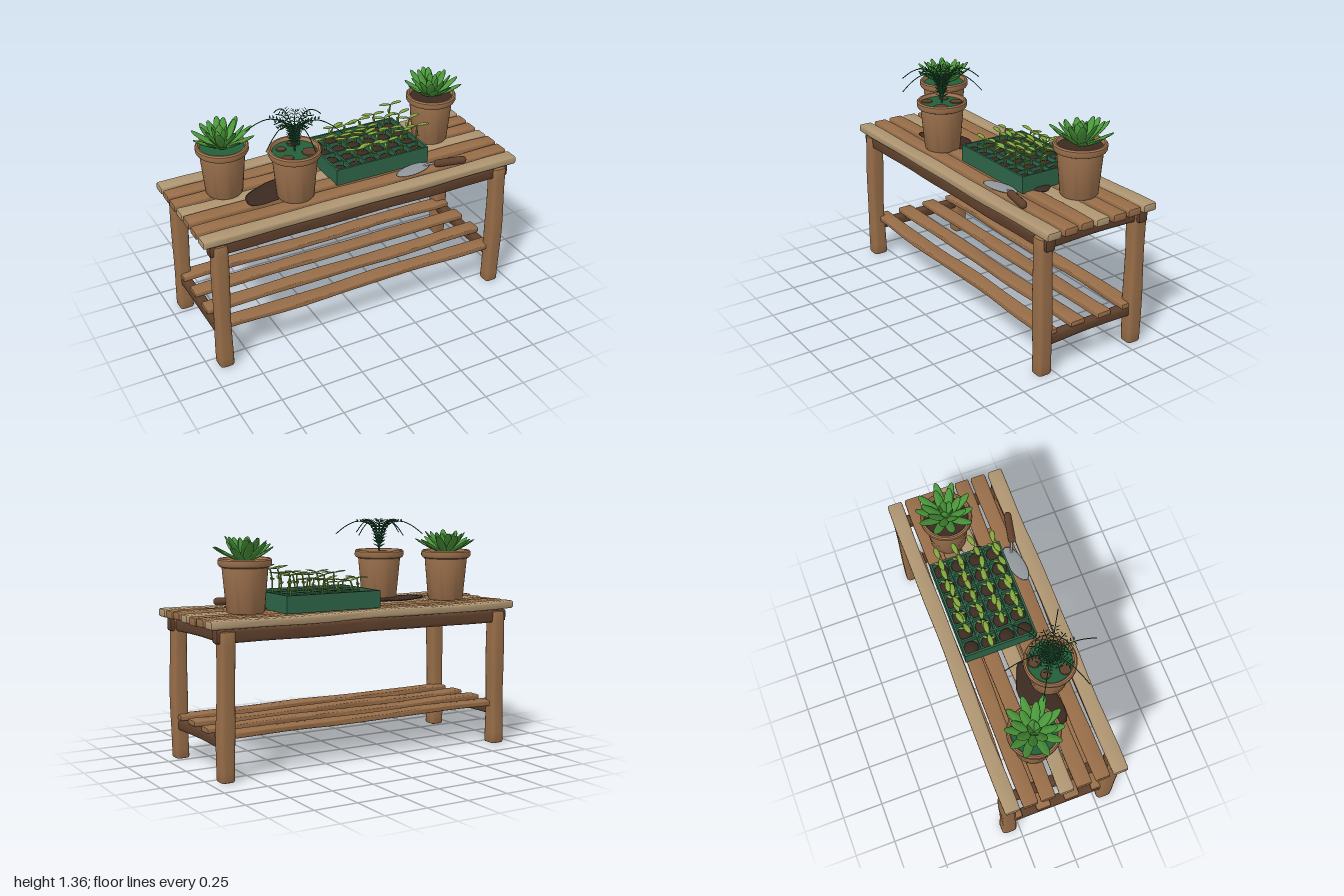
import * as THREE from 'three';
import { mergeGeometries, toCreasedNormals } from 'three/addons/utils/BufferGeometryUtils.js';

const material = (name, color) => {
  const m = new THREE.MeshStandardMaterial({ color });
  m.name = name;
  return m;
};

export function createModel() {
  const root = new THREE.Group();
  root.name = 'pottingBench';
  const paleWood = material('paleWood', 0xae9571);
  const wood = material('wood', 0x976d48);
  const darkWood = material('darkWood', 0x5e402c);
  const clay = material('clay', 0xa0744f);
  const leafGreen = material('leafGreen', 0x4a963a);
  const fernGreen = material('fernGreen', 0x235f3a);
  const trayGreen = material('trayGreen', 0x2e6448);
  const soil = material('soil', 0x3b2a21);
  const sprout = material('sproutGreen', 0x82a83e);
  const metal = material('metal', 0x90969a);

  let seed = 7;
  const rand = (a = 0, b = 1) => {
    seed = (seed * 16807) % 2147483647;
    return a + (b - a) * seed / 2147483647;
  };
  const add = (parent, name, geo, mat, x = 0, y = 0, z = 0) => {
    const mesh = new THREE.Mesh(geo, mat);
    mesh.name = name;
    mesh.position.set(x, y, z);
    parent.add(mesh);
    return mesh;
  };
  const group = (name, x = 0, y = 0, z = 0) => {
    const g = new THREE.Group();
    g.name = name;
    g.position.set(x, y, z);
    root.add(g);
    return g;
  };

  // Rough-hewn timber: a rounded section extruded along its longest side, gently warped
  const timber = (parent, name, mat, [lx, ly, lz], [x, y, z], warp = 0.004) => {
    const len = Math.max(lx, ly, lz), axis = len === lx ? 'x' : len === ly ? 'y' : 'z';
    const w = axis === 'x' ? lz : lx, h = axis === 'y' ? lz : ly;
    const r = Math.min(w, h) * 0.3, a = w / 2, b = h / 2, bevel = 0.012;
    const s = new THREE.Shape();
    s.moveTo(-a + r, -b);
    s.lineTo(a - r, -b); s.quadraticCurveTo(a, -b, a, -b + r);
    s.lineTo(a, b - r); s.quadraticCurveTo(a, b, a - r, b);
    s.lineTo(-a + r, b); s.quadraticCurveTo(-a, b, -a, b - r);
    s.lineTo(-a, -b + r); s.quadraticCurveTo(-a, -b, -a + r, -b);
    const depth = len - 2 * bevel;
    const geo = new THREE.ExtrudeGeometry(s, {
      depth, steps: 14, curveSegments: 4, bevelThickness: bevel, bevelSize: bevel,
      bevelOffset: -bevel, bevelSegments: 2,
    });
    geo.translate(0, 0, -depth / 2);
    const p = geo.attributes.position, ph = rand(0, 6);
    for (let i = 0; i < p.count; i++) {
      const t = p.getZ(i), k = 1 + 0.04 * Math.sin(t * 11 + ph);
      p.setX(i, p.getX(i) * k + warp * Math.sin(t * 5 + ph));
      p.setY(i, p.getY(i) * k + warp * 0.7 * Math.sin(t * 6 + ph * 2));
    }
    if (axis === 'x') geo.rotateY(Math.PI / 2);
    if (axis === 'y') geo.rotateX(-Math.PI / 2);
    add(parent, name, toCreasedNormals(geo, 0.7), mat, x, y, z);
  };

  // Bench
  const bench = group('bench');
  for (const sx of [-1, 1]) {
    for (const sz of [-1, 1]) timber(bench, 'leg', wood, [0.086, 0.815, 0.09], [sx * 0.9, 0.4125, sz * 0.315]);
    timber(bench, 'topEndRail', darkWood, [0.06, 0.068, 0.6], [sx * 0.9, 0.788, 0]);
    timber(bench, 'lowerEndRail', darkWood, [0.06, 0.06, 0.58], [sx * 0.9, 0.208, 0]);
    timber(bench, 'longRail', darkWood, [1.92, 0.075, 0.06], [0, 0.79, sx * 0.313]);
  }
  [0.318, 0.21, 0.102, 0, -0.112, -0.215, -0.322].forEach((z, i) =>
    timber(bench, 'topSlat', i % 3 ? wood : paleWood, [2, 0.047, 0.088], [0, 0.854 + (i === 2 ? 0.006 : 0), z], 0.003));
  [0.27, 0.092, -0.092, -0.27].forEach((z) =>
    timber(bench, 'lowerSlat', wood, [1.86, 0.034, 0.092], [0, 0.252, z], 0.004));

  // Leaf pointing up +y, broad along z and curling towards -x
  const leaf = (len, width, thick, curl = 0, segs = 8) => {
    const g = new THREE.SphereGeometry(1, segs, 8);
    const p = g.attributes.position;
    for (let i = 0; i < p.count; i++) {
      const t = (p.getY(i) + 1) / 2, taper = 0.7 + 0.6 * t - 0.35 * t * t;
      p.setXYZ(i, p.getX(i) * thick / 2 * taper - curl * t * t, t * len, p.getZ(i) * width / 2 * taper);
    }
    g.computeVertexNormals();
    return g;
  };
  // Lean a leaf out to an elevation, then spin it about the vertical
  const place = (g, elevation, spin, x = 0, y = 0, z = 0) =>
    g.rotateZ(elevation - Math.PI / 2).rotateY(spin).translate(x, y, z);

  // Flowerpots
  const potProfile = [[0, 0], [0.1, 0], [0.106, 0.008], [0.128, 0.25], [0.142, 0.256], [0.149, 0.268],
    [0.149, 0.292], [0.142, 0.3], [0.132, 0.299], [0.125, 0.285], [0.12, 0.25]].map(([x, y]) => new THREE.Vector2(x, y));
  const pot = (name, x, z, fill, fillName) => {
    const g = group(name, x, 0.88, z);
    add(g, 'pot', toCreasedNormals(new THREE.LatheGeometry(potProfile, 40), 0.6), clay);
    add(g, fillName, new THREE.CylinderGeometry(0.126, 0.12, 0.02, 32), fill, 0, 0.27);
    return g;
  };

  const succulent = (parent) => {
    const leaves = [];
    for (const [n, len, elev, off] of [[10, 0.2, 0.46, 0], [8, 0.18, 0.75, 0.3], [5, 0.135, 1.15, 0.1]]) {
      for (let i = 0; i < n; i++) {
        const g = leaf(len * rand(0.92, 1.06), 0.056, 0.018, 0.018);
        leaves.push(place(g, elev + rand(-0.1, 0.1), off + i / n * Math.PI * 2 + rand(-0.1, 0.1), 0, 0.275, 0));
      }
    }
    add(parent, 'succulentLeaves', mergeGeometries(leaves), leafGreen);
  };
  succulent(pot('leftPot', -0.69, -0.085, fernGreen, 'moss'));
  succulent(pot('rightPot', 0.67, -0.095, soil, 'soil'));

  // Fern with long wispy fronds and short upright ones
  const fernPot = pot('fernPot', -0.352, 0.14, fernGreen, 'moss');
  [[0.07, 0.05, 0.05], [-0.07, 0.06, 0.035], [0.03, -0.08, 0.04], [-0.06, -0.05, 0.03]].forEach(([x, z, r]) =>
    add(fernPot, 'soilPatch', new THREE.CylinderGeometry(r * 0.9, r, 0.006, 9), darkWood, x, 0.282, z));
  const longFrond = [[0, 0.27], [0.012, 0.36], [0.055, 0.45], [0.13, 0.472], [0.2, 0.445], [0.265, 0.395]];
  const shortFrond = [[0, 0.27], [0.01, 0.36], [0.035, 0.44], [0.075, 0.475], [0.12, 0.47]];
  const fern = [];
  for (let i = 0; i < 12; i++) {
    const long = i % 2, spin = i * Math.PI / 6;
    const path = new THREE.CatmullRomCurve3((long ? longFrond : shortFrond).map(([x, y]) => new THREE.Vector3(x, y, 0)));
    fern.push(new THREE.TubeGeometry(path, 18, 0.0028, 5).rotateY(spin));
    for (let k = 0; k < 11; k++) {
      const t = 0.18 + k * (long ? 0.045 : 0.075), p = path.getPointAt(t);
      for (const s of [-1, 1]) {
        const g = new THREE.ConeGeometry(0.007, 0.046 - 0.0025 * k, 4).scale(1, 1, 0.4).translate(0, 0.02, 0);
        g.rotateX(s * 1.1).rotateZ(-0.6).translate(p.x, p.y, 0);
        fern.push(g.rotateY(spin));
      }
    }
  }
  add(fernPot, 'fernFronds', mergeGeometries(fern), fernGreen);

  // Seed tray: floor, walls, dividers and cell soil
  const tray = group('seedTray', 0.2, 0.878, -0.052);
  const W = 0.604, D = 0.43, H = 0.1, T = 0.012;
  const box = (name, w, h, d, x, y, z) => add(tray, name, new THREE.BoxGeometry(w, h, d), trayGreen, x, y, z);
  box('trayFloor', W - T, 0.05, D - T, 0, 0.026, 0);
  for (const s of [-1, 1]) {
    box('trayLongWall', W, H, T, 0, H / 2, s * (D - T) / 2);
    box('trayEndWall', T, H, D - 2 * T, s * (W - T) / 2, H / 2, 0);
  }
  for (let i = 1; i < 6; i++) box('trayDivider', 0.01, 0.04, D - 2 * T, -W / 2 + i * W / 6, 0.07, 0);
  for (let j = 1; j < 4; j++) box('trayDivider', W - 2 * T, 0.04, 0.01, 0, 0.07, -D / 2 + j * D / 4);
  const mounds = [], stems = [];
  for (let i = 0; i < 6; i++) {
    for (let j = 0; j < 4; j++) {
      const x = (i - 2.5) * W / 6, z = (j - 1.5) * D / 4;
      mounds.push(new THREE.SphereGeometry(0.044, 14, 8).scale(1, 0.6, 1).translate(x, 0.06, z));
      if (i === 0 && j !== 1) continue;
      // Seedling: bent stem, a pair of seed leaves and a smaller low pair
      const top = 0.155 + i * 0.01 + rand(-0.02, 0.025), lean = rand(-0.015, 0.02);
      const path = new THREE.CatmullRomCurve3([[x, 0.08, z], [x + lean * 0.3, top * 0.8, z], [x + lean, top, z]]
        .map((v) => new THREE.Vector3(...v)));
      stems.push(new THREE.TubeGeometry(path, 6, 0.0045, 6));
      for (const s of [0, 1]) {
        const spin = s * Math.PI + rand(-0.25, 0.25);
        stems.push(place(leaf(0.075, 0.036, 0.009, -0.012), rand(0.1, 0.4), spin, x + lean, top, z));
        stems.push(place(leaf(0.04, 0.02, 0.007, 0, 6), 0.45, spin + 1.2, x + lean * 0.3, top * 0.72, z));
      }
    }
  }
  add(tray, 'cellSoil', mergeGeometries(mounds), soil);
  add(tray, 'seedlings', mergeGeometries(stems), sprout);

  // Spilled soil, with an uneven edge
  const spill = (x, z, rx, rz, turn) => {
    const g = new THREE.SphereGeometry(1, 28, 8), p = g.attributes.position;
    for (let i = 0; i < p.count; i++) {
      const a = Math.atan2(p.getZ(i), p.getX(i)), k = 1 + 0.06 * Math.sin(3 * a) + 0.04 * Math.cos(5 * a);
      p.setXYZ(i, p.getX(i) * k * rx, p.getY(i) * 0.011, p.getZ(i) * k * rz);
    }
    g.computeVertexNormals();
    add(root, 'spilledSoil', g, soil, x, 0.885, z).rotation.y = turn;
  };
  spill(-0.43, 0.055, 0.215, 0.1, 0.2);
  spill(0.49, 0.035, 0.065, 0.055, 0);

  // Trowel
  const trowel = group('trowel');
  add(trowel, 'trowelBlade', new THREE.SphereGeometry(1, 28, 10).scale(0.122, 0.009, 0.05), metal, 0.37, 0.887, 0.218)
    .rotation.y = 0.2;
  const neck = new THREE.CatmullRomCurve3([new THREE.Vector3(0.44, 0.892, 0.215),
    new THREE.Vector3(0.48, 0.905, 0.232), new THREE.Vector3(0.52, 0.905, 0.245)]);
  add(trowel, 'trowelNeck', new THREE.TubeGeometry(neck, 8, 0.007, 8), metal);
  const grip = new THREE.CapsuleGeometry(0.023, 0.155, 5, 14).rotateZ(Math.PI / 2);
  add(trowel, 'trowelHandle', grip, darkWood, 0.593, 0.905, 0.264).rotation.y = -0.2;

  return root;
}
